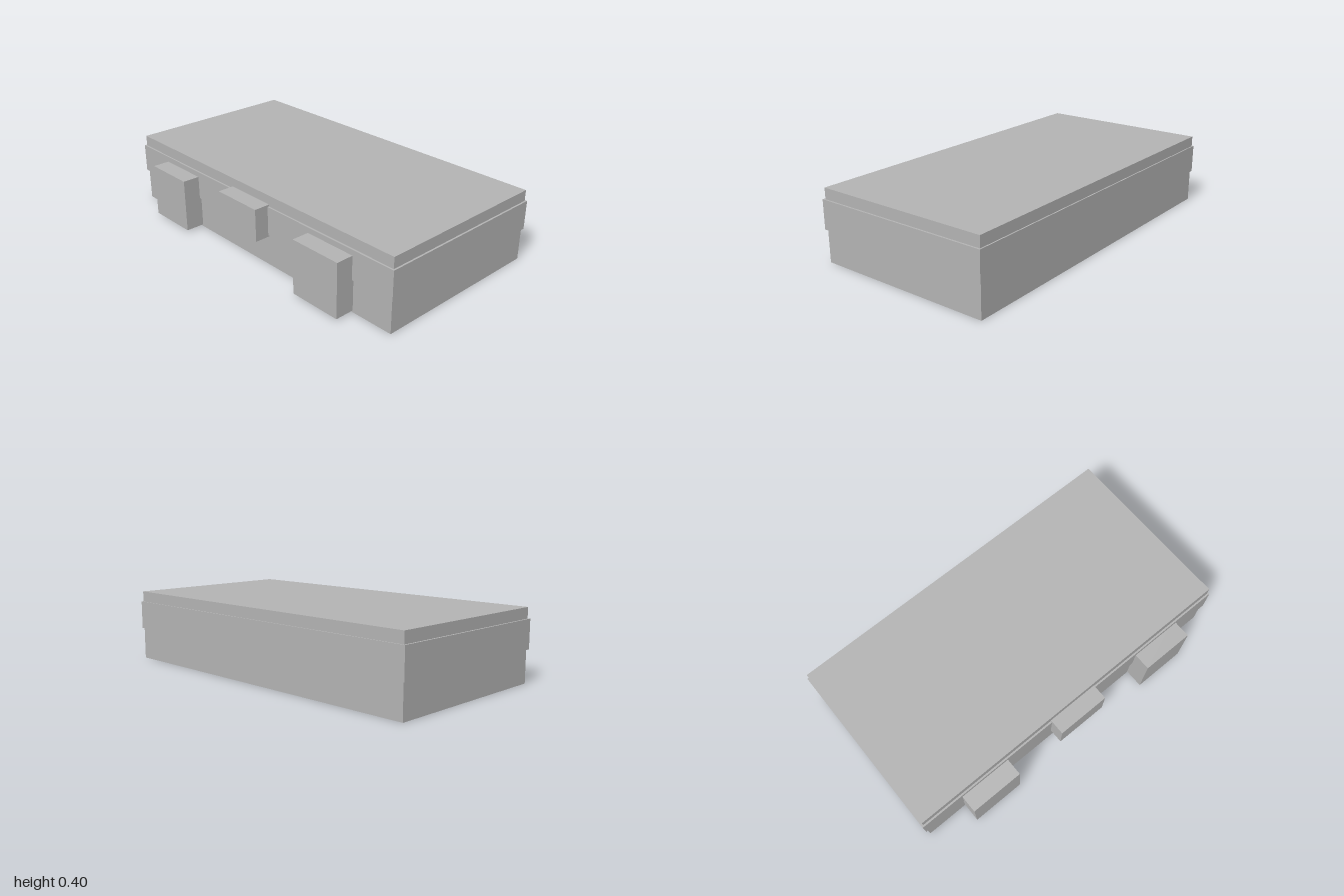
import * as THREE from 'three';

export function createModel() {
  const model = new THREE.Group();
  model.name = 'chest';
  const grey = new THREE.MeshStandardMaterial({ color: 0xb2b2b2 });
  grey.name = 'plain grey';

  // Box given by its lower and upper limits on each axis
  function block(name, [x0, x1], [y0, y1], [z0, z1]) {
    const mesh = new THREE.Mesh(new THREE.BoxGeometry(x1 - x0, y1 - y0, z1 - z0), grey);
    mesh.position.set((x0 + x1) / 2, (y0 + y1) / 2, (z0 + z1) / 2);
    mesh.name = name;
    model.add(mesh);
  }

  // Main slab and the slightly proud band around it
  block('body', [-0.99, 0.99], [0, 0.4], [-0.55, 0.45]);
  block('band', [-1, 1], [0.18, 0.34], [-0.557, 0.46]);

  // Two tall side latches and a shorter centre clasp on the front
  for (const [side, x] of [['left', 0.6], ['right', -0.6]]) {
    block(side + 'Latch', [x - 0.15, x + 0.15], [0.01, 0.31], [0.44, 0.557]);
  }
  block('centreClasp', [-0.15, 0.15], [0.17, 0.35], [0.44, 0.54]);

  return model;
}
